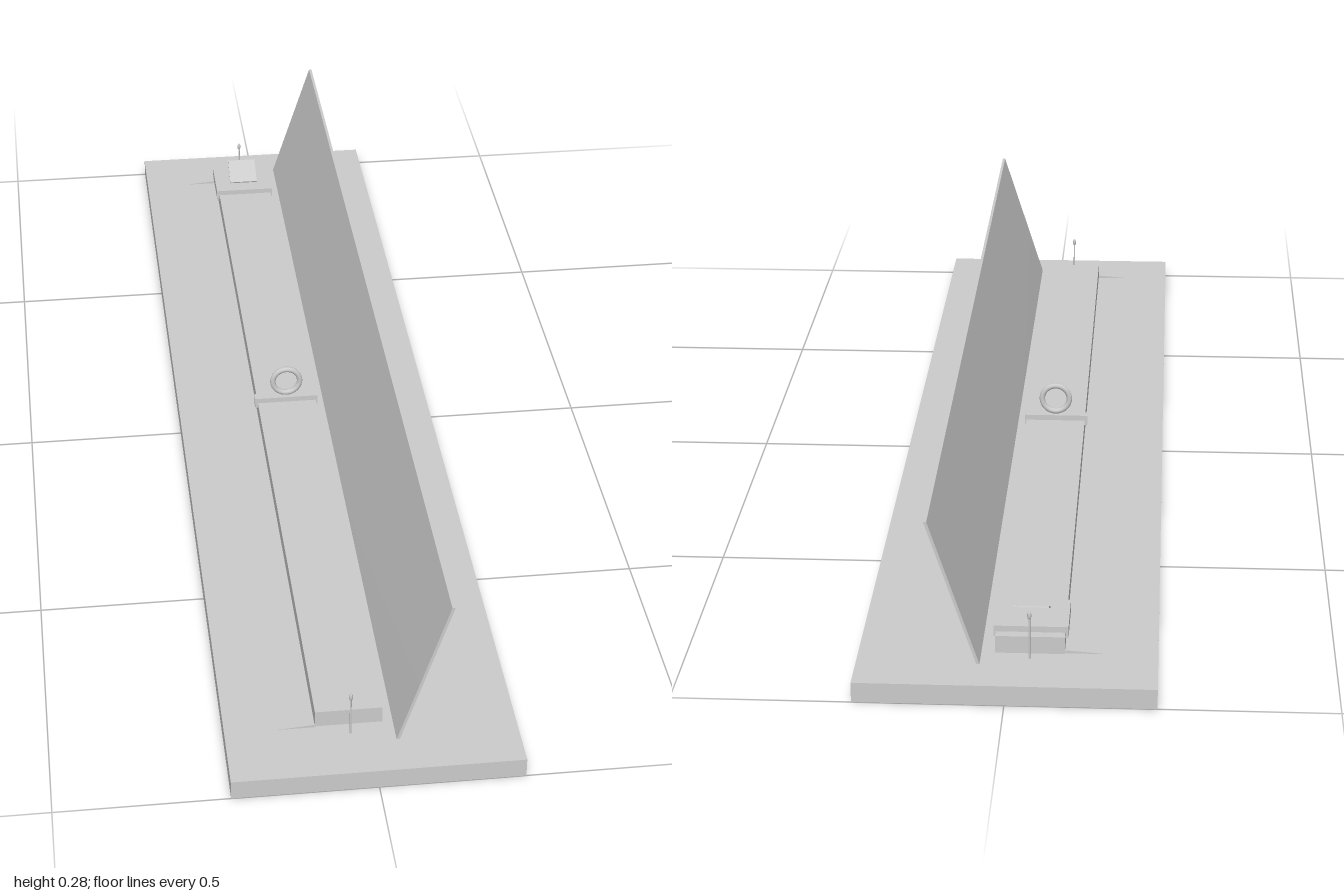
import * as THREE from 'three';

export function createModel() {
  const group = new THREE.Group();
  const mat = new THREE.MeshStandardMaterial({ color: 0xcccccc, side: THREE.DoubleSide });
  const axisX = -0.033;

  function add(name, geometry, x = 0, y = 0, z = 0) {
    const mesh = new THREE.Mesh(geometry, mat);
    mesh.name = name;
    mesh.position.set(x, y, z);
    group.add(mesh);
    return mesh;
  }
  const box = (name, x0, x1, y0, y1, z0, z1) =>
    add(name, new THREE.BoxGeometry(x1 - x0, y1 - y0, z1 - z0), (x0 + x1) / 2, (y0 + y1) / 2, (z0 + z1) / 2);

  // Base board and the long rail on it
  box('baseBoard', -0.228, 0.228, 0, 0.032, -1, 1);
  box('rail', -0.086, 0.02, 0.032, 0.06, -0.89, 0.885);

  // Leaning screen, a little lower and steeper at the back
  const screen = new THREE.BoxGeometry(1, 1, 1.86);
  const p = screen.attributes.position;
  for (let i = 0; i < p.count; i++) {
    const t = p.getY(i) + 0.5;
    const front = p.getZ(i) > 0;
    const foot = front ? 0.036 : 0.041;
    const top = front ? 0.116 : 0.118;
    const height = front ? 0.28 : 0.264;
    p.setXYZ(i, foot + (top - foot) * t + (p.getX(i) + 0.5) * 0.005, 0.032 + (height - 0.032) * t, p.getZ(i));
  }
  screen.computeVertexNormals();
  add('leaningScreen', screen);

  // Saddles that clip over the rail
  function saddle(name, z0, z1) {
    const s = new THREE.Shape();
    s.moveTo(-0.091, 0.052);
    s.lineTo(-0.086, 0.052);
    s.lineTo(-0.086, 0.0605);
    s.lineTo(0.02, 0.0605);
    s.lineTo(0.02, 0.052);
    s.lineTo(0.023, 0.052);
    s.lineTo(0.023, 0.07);
    s.lineTo(-0.091, 0.07);
    s.closePath();
    add(name, new THREE.ExtrudeGeometry(s, { depth: z1 - z0, bevelEnabled: false }), 0, 0, z0);
  }
  saddle('ringSaddle', -0.008, 0.009);
  saddle('mirrorSaddle', -0.875, -0.78);

  // Upright ring in the middle
  add('ring', new THREE.TorusGeometry(0.0245, 0.005, 12, 40), axisX, 0.1, 0);

  // Tilted square mirror, high side to the back
  const mirror = add('mirror', new THREE.BoxGeometry(0.055, 0.003, 0.056), axisX, 0.084, -0.835);
  mirror.rotation.x = 0.45;

  // Sighting pins and thin wedges at both ends
  for (const s of [-1, 1]) {
    const z = s * 0.907;
    add('pinPost', new THREE.CylinderGeometry(0.0015, 0.0015, 0.07, 8), axisX, 0.067, z);
    const head = add('pinHead', new THREE.SphereGeometry(0.004, 10, 8), axisX, 0.104, z);
    head.scale.set(0.8, 1.8, 0.8);

    const w = new THREE.Shape();
    w.moveTo(-0.15, 0.032);
    w.lineTo(-0.086, 0.032);
    w.lineTo(-0.086, 0.037);
    w.closePath();
    add('railWedge', new THREE.ExtrudeGeometry(w, { depth: 0.002, bevelEnabled: false }), 0, 0, s * 0.886 - 0.001);
  }
  return group;
}
